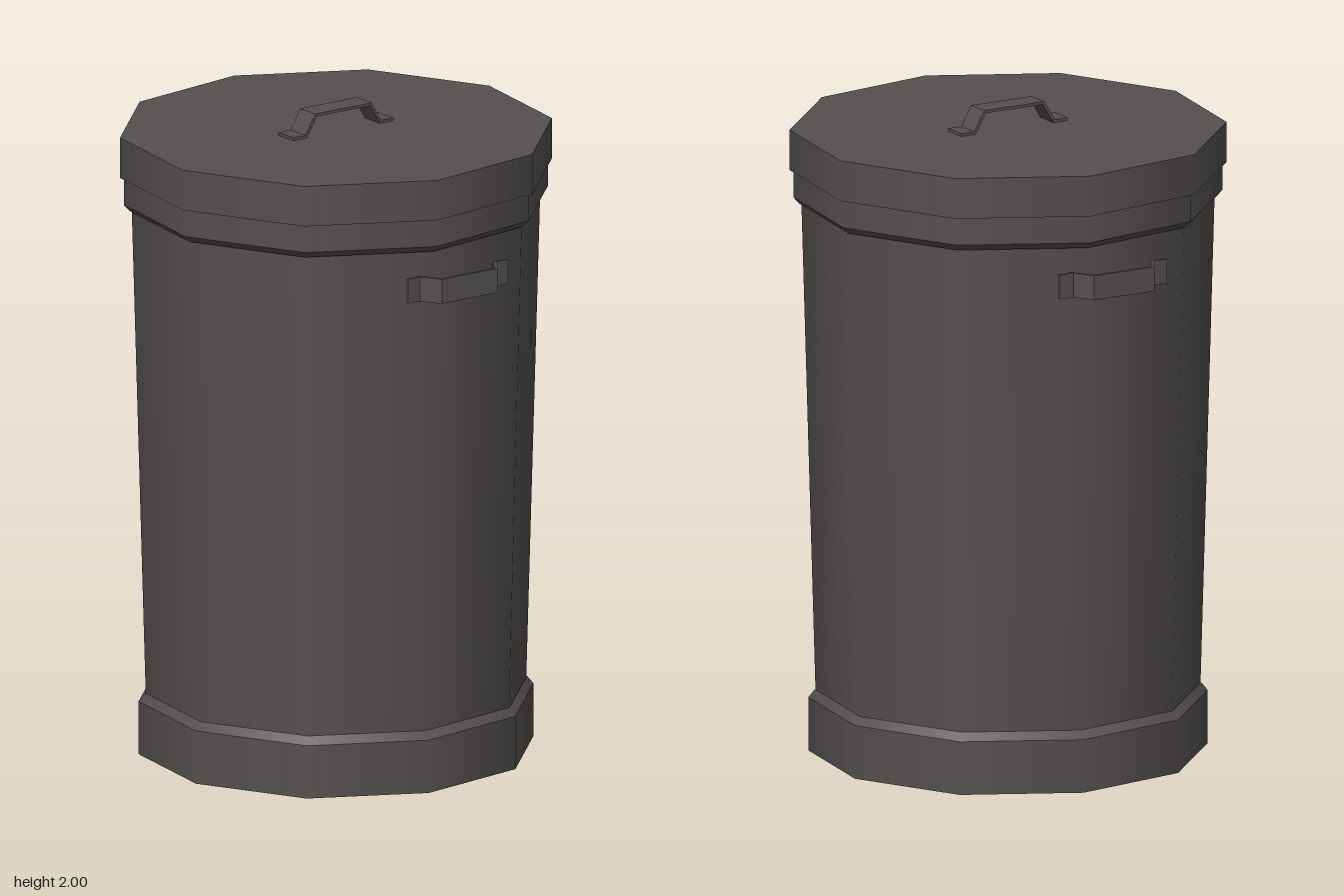
import * as THREE from 'three';

const SIDES = 10;
const TURN = THREE.MathUtils.degToRad(27);

export function createModel() {
  const bin = new THREE.Group();
  bin.name = 'trashCan';
  const metal = new THREE.MeshStandardMaterial({ color: 0x555050 });
  metal.name = 'darkGreyMetal';

  // Ten-sided ring with smooth sides; separate rings keep the edges between them sharp
  function ring(name, rBottom, rTop, y0, y1, open = false) {
    const geo = new THREE.CylinderGeometry(rTop, rBottom, y1 - y0, SIDES, 1, open, TURN);
    geo.translate(0, (y0 + y1) / 2, 0);
    const mesh = new THREE.Mesh(geo, metal);
    mesh.name = name;
    bin.add(mesh);
  }

  ring('base', 0.603, 0.603, 0, 0.165);
  ring('baseBevel', 0.603, 0.583, 0.165, 0.19, true);
  ring('body', 0.581, 0.624, 0.18, 1.71);
  ring('rimBevel', 0.63, 0.648, 1.7, 1.72);
  ring('rim', 0.648, 0.648, 1.72, 1.805);
  ring('lid', 0.66, 0.66, 1.805, 1.93);

  // Bent strap: flat feet, sloping legs and a flat grip
  const outline = [
    [-0.188, 0], [-0.137, 0], [-0.1, 0.061], [0.1, 0.061], [0.137, 0], [0.188, 0],
    [0.188, 0.009], [0.142, 0.009], [0.106, 0.07], [-0.106, 0.07], [-0.142, 0.009], [-0.188, 0.009],
  ].map(([x, y]) => new THREE.Vector2(x, y));
  const strap = new THREE.ExtrudeGeometry(new THREE.Shape(outline), { depth: 0.076, bevelEnabled: false });
  strap.translate(0, 0, -0.038);

  function handle(name, geo) {
    const mesh = new THREE.Mesh(geo, metal);
    mesh.name = name;
    bin.add(mesh);
  }

  // Lid handle, then one carrying handle at the front and one at the back
  handle('lidHandle', strap.clone().translate(0, 1.93, 0));
  const side = strap.clone().rotateX(Math.PI / 2).translate(0, 1.588, 0.606);
  handle('frontHandle', side);
  handle('backHandle', side.clone().rotateY(Math.PI));

  return bin;
}
